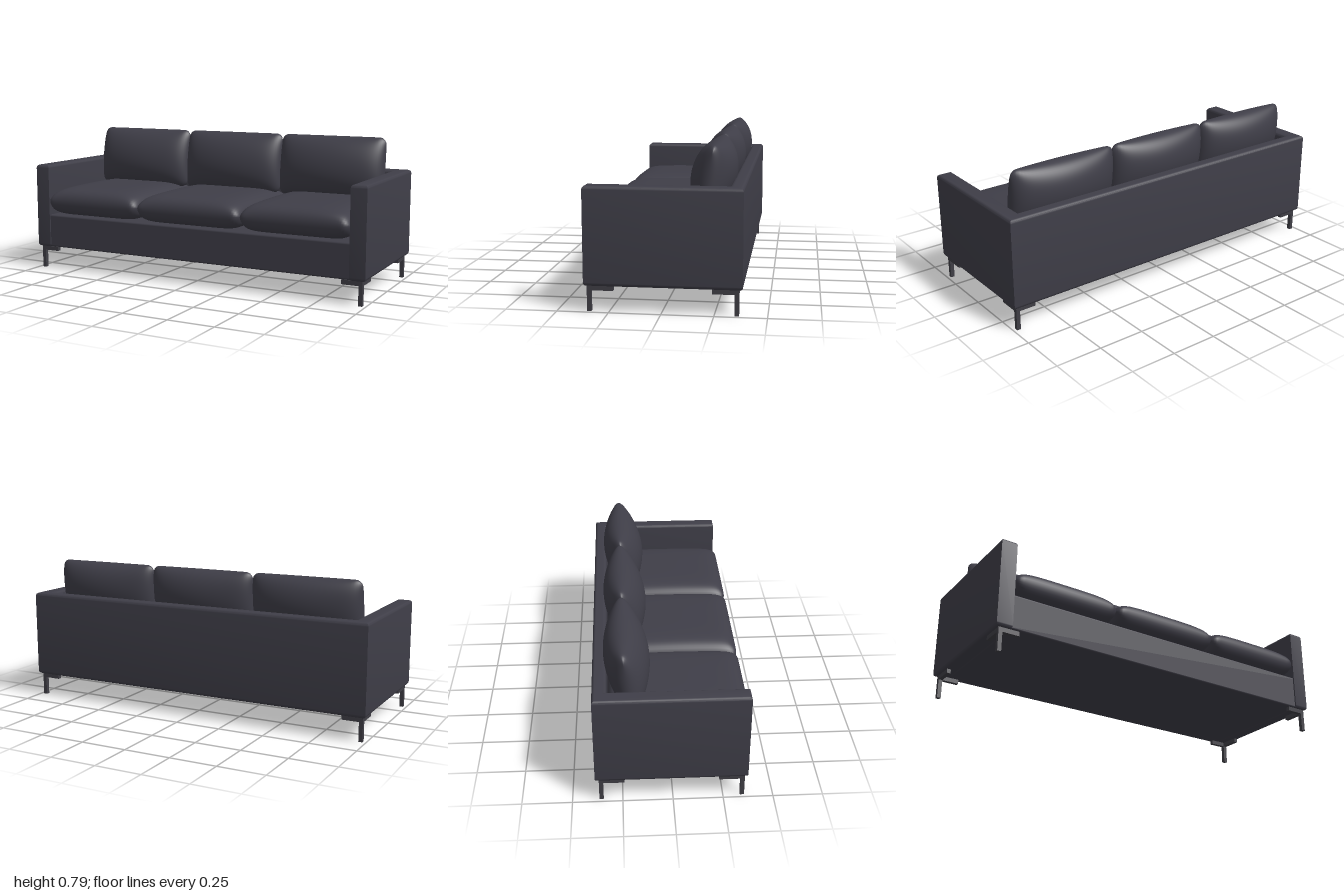
import * as THREE from 'three';
import { mergeVertices, toCreasedNormals } from 'three/addons/utils/BufferGeometryUtils.js';
import { RoundedBoxGeometry } from 'three/addons/geometries/RoundedBoxGeometry.js';

const fabric = new THREE.MeshStandardMaterial({ color: 0x3f3e48 });
fabric.name = 'charcoalFabric';
const metal = new THREE.MeshStandardMaterial({ color: 0x3f3e45 });
metal.name = 'darkMetal';

// Stuffed pillow in the XY plane, thickness along z.
// w, h, t are half sizes; r is the outline corner radius; thickness(u, v) runs 0..1.
function pillow(w, h, t, r, thickness) {
  const g = new THREE.BoxGeometry(2, 2, 2, 36, 36, 2);
  g.deleteAttribute('uv');
  g.deleteAttribute('normal');
  const p = g.attributes.position;
  for (let i = 0; i < p.count; i++) {
    const u = Math.sin(p.getX(i) * Math.PI / 2);
    const v = Math.sin(p.getY(i) * Math.PI / 2);
    const c = p.getZ(i);
    const over = Math.max(0, Math.abs(u) * w - (w - r));
    const half = h - r + Math.sqrt(Math.max(0, r * r - over * over));
    p.setXYZ(i, u * w, v * half, c * t * thickness(u, v, c));
  }
  const merged = mergeVertices(g, 1e-5);
  merged.computeVertexNormals();
  return merged;
}

const edge = (u, n) => Math.sqrt(Math.max(0, 1 - Math.abs(u) ** n));

export function createModel() {
  const model = new THREE.Group();
  model.name = 'sofa';
  const add = (name, geometry, material, x = 0, y = 0, z = 0, parent = model) => {
    const mesh = new THREE.Mesh(geometry, material);
    mesh.name = name;
    mesh.position.set(x, y, z);
    parent.add(mesh);
    return mesh;
  };

  // Arms and back as one U-shaped, soft-edged shell
  const b = 0.018;
  const U = [[-1, -0.37], [-0.915, -0.37], [-0.915, 0.315], [0.915, 0.315],
    [0.915, -0.37], [1, -0.37], [1, 0.385], [-1, 0.385]];
  const inset = U.map(([x, y]) => {
    const outer = Math.abs(x) > 0.95;
    const sx = Math.sign(x) * (outer ? -b : b);
    const sy = y < 0 || y === 0.315 ? b : -b;
    return new THREE.Vector2(x + sx, y + sy);
  });
  const shell = new THREE.ExtrudeGeometry(new THREE.Shape(inset), {
    depth: 0.48 - 2 * b, bevelSize: b, bevelThickness: b, bevelSegments: 5, curveSegments: 4,
  });
  shell.rotateX(-Math.PI / 2);
  shell.translate(0, 0.125 + b, 0);
  add('armsAndBack', toCreasedNormals(shell, 0.6), fabric);

  // Seat base between the arms
  add('seatBase', new RoundedBoxGeometry(1.85, 0.188, 0.7, 3, 0.01), fabric, 0, 0.221, 0.012);

  // Seat cushions: flat below, crowned on top
  const seats = [[-0.917, -0.321], [-0.321, 0.308], [0.308, 0.912]];
  seats.forEach(([x0, x1], i) => {
    const g = pillow((x1 - x0) / 2, 0.35, 0.085, 0.04, (u, v, c) =>
      edge(u, 10) * edge(v, 10) * (c > 0 ? 1 - 0.25 * u * u * u * u - 0.1 * v * v : 0.95));
    g.rotateX(-Math.PI / 2);
    add('seatCushion' + (i + 1), g, fabric, (x0 + x1) / 2, 0.396, 0.035);
  });

  // Back cushions: elliptical section, thinner at the ends, leaning backwards
  const backs = [[-0.918, -0.314], [-0.314, 0.292], [0.292, 0.902]];
  backs.forEach(([x0, x1], i) => {
    const g = pillow((x1 - x0) / 2, 0.168, 0.114, 0.04, (u, v) =>
      edge(v, 2) * edge(u, 10) * (1 - 0.48 * u * u));
    const p = g.attributes.position;
    for (let k = 0; k < p.count; k++) p.setZ(k, p.getZ(k) - 0.13 * p.getY(k));
    g.computeVertexNormals();
    add('backCushion' + (i + 1), g, fabric, (x0 + x1) / 2, 0.62, -0.214);
  });

  // Corner legs: square post with an L-shaped mounting bracket
  for (const sx of [-1, 1]) {
    for (const sz of [-1, 1]) {
      const leg = new THREE.Group();
      leg.name = (sz > 0 ? 'front' : 'back') + (sx > 0 ? 'Left' : 'Right') + 'Leg';
      leg.position.set(sx * 0.972, 0, sz > 0 ? 0.346 : -0.356);
      add('post', new THREE.BoxGeometry(0.021, 0.126, 0.021), metal, 0, 0.063, 0, leg);
      add('sideBracket', new THREE.BoxGeometry(0.021, 0.024, 0.106), metal, 0, 0.114, -sz * 0.0635, leg);
      add('crossBracket', new THREE.BoxGeometry(0.09, 0.024, 0.021), metal, -sx * 0.0555, 0.114, 0, leg);
      model.add(leg);
    }
  }
  return model;
}
